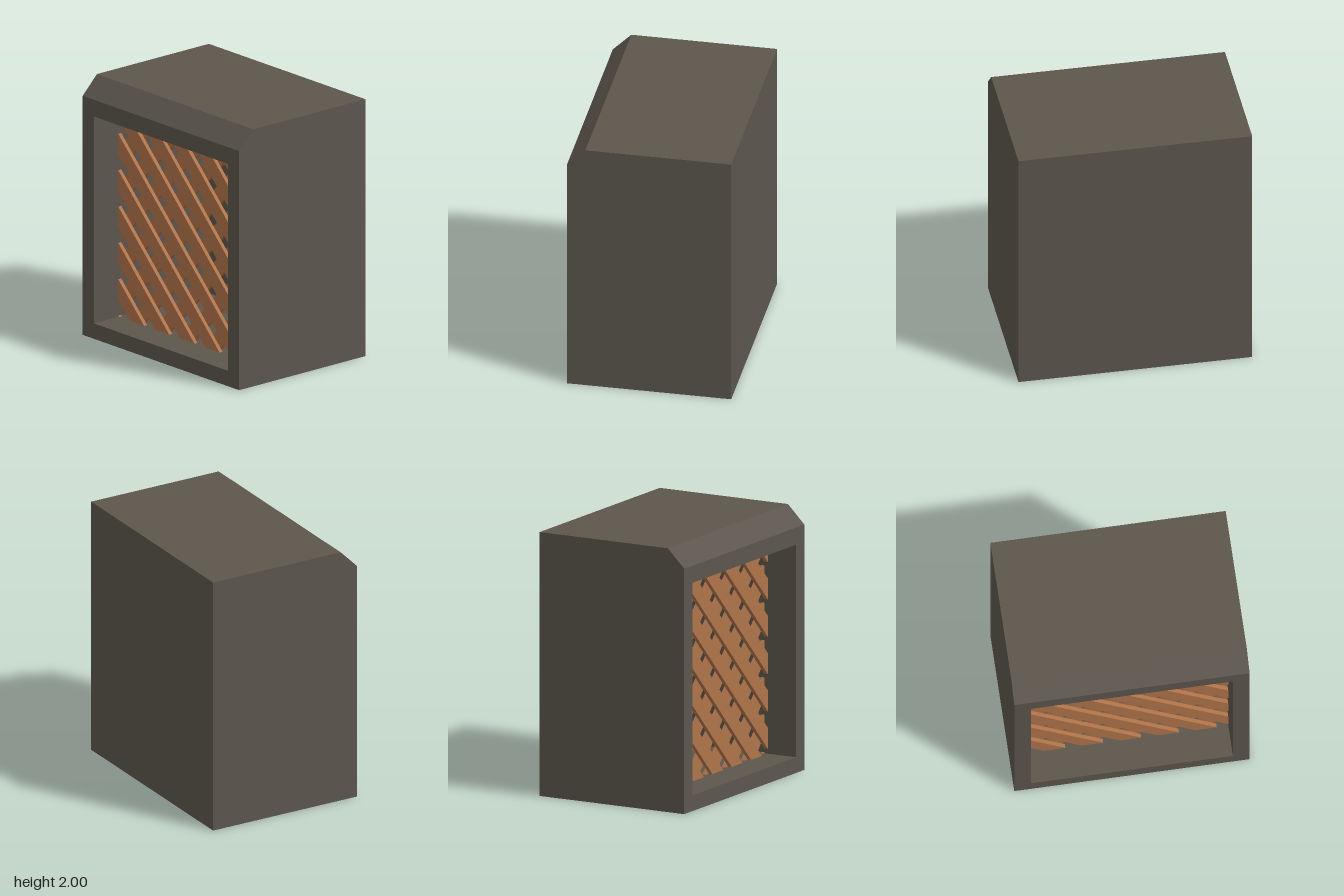
import * as THREE from 'three';

const W = 0.62, D = 0.88, H = 2;          // half width, half depth, height
const WALL = 0.12, TOP = 1.73, SIDE = 0.755; // cavity limits
const vec = (x, y) => new THREE.Vector2(x, y);

// Prism from a list of 2D points
function prism(points, depth) {
  return new THREE.ExtrudeGeometry(new THREE.Shape(points), { depth, bevelEnabled: false });
}

// Keep the part of a convex polygon where inside(p) >= 0
function clip(poly, inside) {
  const out = [];
  poly.forEach((a, i) => {
    const b = poly[(i + 1) % poly.length];
    const da = inside(a), db = inside(b);
    if (da >= 0) out.push(a);
    if (da * db < 0) out.push(a.clone().lerp(b, da / (da - db)));
  });
  return out;
}

export function createModel() {
  const model = new THREE.Group();
  const shellMat = new THREE.MeshStandardMaterial({ color: 0x5c564d });
  const woodMat = new THREE.MeshStandardMaterial({ color: 0xb0744a });

  // Cabinet: hollow middle section, open on the -x side
  const outline = [vec(-W, 0), vec(W, 0), vec(W, H), vec(-0.48, H), vec(-W, 1.86)];
  const cavity = [vec(-W, TOP), vec(W - WALL, TOP), vec(W - WALL, WALL), vec(-W, WALL)];
  const shell = new THREE.Group();
  shell.name = 'cabinet';
  const addShell = (name, points, z0, z1) => {
    const mesh = new THREE.Mesh(prism(points, z1 - z0), shellMat);
    mesh.position.z = z0;
    mesh.name = name;
    shell.add(mesh);
  };
  addShell('cabinetMiddle', [...outline, ...cavity], -SIDE, SIDE);
  addShell('frontWall', outline, SIDE, D);
  addShell('backWall', outline, -D, -SIDE);
  model.add(shell);

  // Diagonal lattice: two crossed layers of slats trimmed to the opening
  const lattice = new THREE.Group();
  lattice.name = 'lattice';
  const pitch = 0.283, half = 0.08, thick = 0.03;
  [1, -1].forEach((dir, layer) => {
    for (let k = -3; k < 12; k++) {
      const c = -0.14 + k * pitch;
      // slat centre line: dir * z + y = c
      const rect = [vec(-SIDE, WALL), vec(SIDE, WALL), vec(SIDE, TOP), vec(-SIDE, TOP)];
      let slat = clip(rect, p => dir * p.x + p.y - c + half);
      slat = clip(slat, p => c + half - dir * p.x - p.y);
      if (slat.length < 3) continue;
      const mesh = new THREE.Mesh(prism(slat, thick).rotateY(-Math.PI / 2), woodMat);
      mesh.position.x = -0.35 + layer * thick;
      mesh.name = layer ? 'rearSlat' : 'frontSlat';
      lattice.add(mesh);
    }
  });
  model.add(lattice);
  return model;
}
